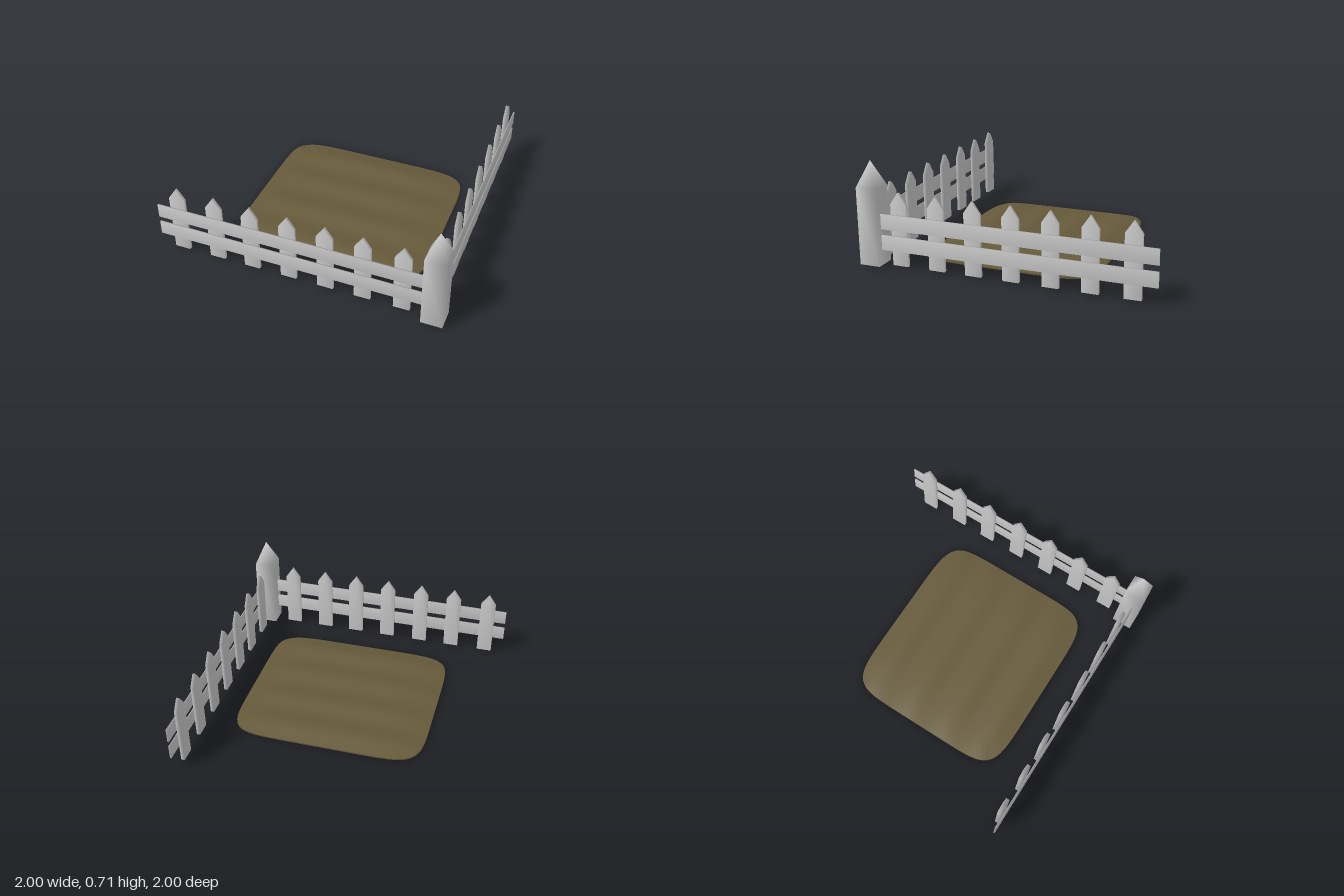
import * as THREE from 'three';
import { mergeVertices } from 'three/addons/utils/BufferGeometryUtils.js';

// Share all corners so the normals blend softly round every edge
function soften(geometry) {
  geometry.deleteAttribute('normal');
  geometry.deleteAttribute('uv');
  const merged = mergeVertices(geometry, 1e-4);
  merged.computeVertexNormals();
  return merged;
}

// Flat board with a pointed top, centred on its own thickness
function picketGeometry() {
  const w = 0.055, d = 0.025;
  const shape = new THREE.Shape([
    [-w, 0.012], [w, 0.012], [w, 0.43], [0, 0.51], [-w, 0.43],
  ].map(([x, y]) => new THREE.Vector2(x, y)));
  const g = new THREE.ExtrudeGeometry(shape, { depth: d, bevelEnabled: false });
  g.translate(0, 0, -d / 2);
  return soften(g);
}

// Rounded-square mat: a box grid pulled to a superellipse and rippled along z
function matGeometry() {
  const n = 7, g = new THREE.BoxGeometry(2, 1, 2, 32, 1, 64);
  const p = g.attributes.position;
  for (let i = 0; i < p.count; i++) {
    const u = p.getX(i), v = p.getZ(i), top = p.getY(i) > 0;
    const a = Math.abs(u), b = Math.abs(v), m = Math.max(a, b);
    const k = m > 0 ? m / Math.pow(a ** n + b ** n, 1 / n) : 1;
    const x = u * k, z = v * k;
    const fade = (1 - x ** 4) * (1 - b ** 12);
    const ripple = 0.5 - 0.5 * Math.cos(4 * Math.PI * (z + 1));
    const y = top ? 0.01 + fade * (0.012 + 0.019 * ripple) : 0.005 * fade;
    p.setXYZ(i, 0.058 + x * 0.687, y, 0.09 + z * 0.61);
  }
  g.computeVertexNormals();
  return g;
}

export function createModel() {
  const model = new THREE.Group();
  const grey = new THREE.MeshStandardMaterial({ color: 0xcccccc });
  const add = (parent, name, geometry, material = grey) => {
    const mesh = new THREE.Mesh(geometry, material);
    mesh.name = name;
    parent.add(mesh);
    return mesh;
  };

  const picket = picketGeometry();
  const rail = soften(new THREE.BoxGeometry(1.87, 0.103, 0.01));
  const offsets = [-0.86, -0.592, -0.335, -0.071, 0.188, 0.444, 0.709];

  // One fence run, along x or (turned) along z
  function fence(name, turned, shift, out) {
    const group = new THREE.Group();
    group.name = name;
    const place = (mesh, along, y, across) => {
      if (turned) {
        mesh.position.set(across, y, along);
        mesh.rotation.y = Math.PI / 2;
      } else mesh.position.set(along, y, across);
    };
    for (const y of [0.168, 0.311]) place(add(group, 'rail', rail), -0.065, y, 0.945 + out);
    for (const s of offsets) place(add(group, 'picket', picket), s + shift, 0, 0.917 + out);
    model.add(group);
  }
  fence('frontFence', false, 0, 0);
  fence('leftFence', true, 0.022, 0.008);

  // Square corner post with a pyramid tip
  const r = 0.072 * Math.SQRT2;
  const profile = [[0, 0.012], [r, 0.012], [r, 0.535], [0, 0.71]]
    .map(([x, y]) => new THREE.Vector2(x, y));
  const post = add(model, 'cornerPost', soften(new THREE.LatheGeometry(profile, 4, Math.PI / 4)));
  post.position.set(0.928, 0, 0.924);

  // Ground mat
  add(model, 'mat', matGeometry(), new THREE.MeshStandardMaterial({ color: 0x665a3a }));

  return model;
}
